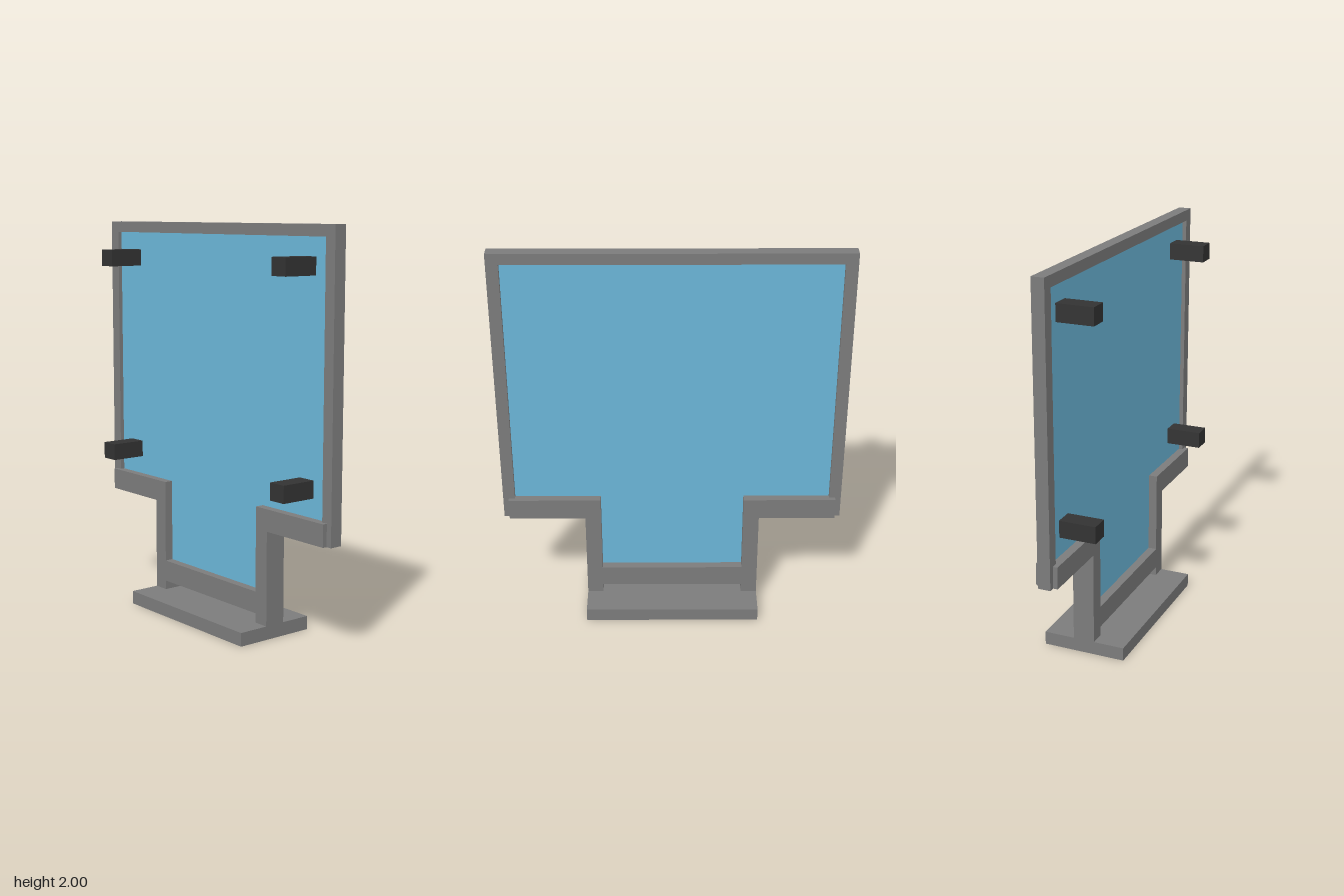
import * as THREE from 'three';

const grey = new THREE.MeshStandardMaterial({ color: 0x7c7c7c });
const blue = new THREE.MeshStandardMaterial({ color: 0x6bb6d8 });
const dark = new THREE.MeshStandardMaterial({ color: 0x333333 });

// Closed shape symmetric in x, from the points of its +x half (top to bottom)
function mirrored(half) {
  const left = half.map(([x, y]) => [-x, y]).reverse();
  return new THREE.Shape([...half, ...left].map(([x, y]) => new THREE.Vector2(x, y)));
}

// Flat plate centred on z = 0
function plate(name, shape, depth, material) {
  const geometry = new THREE.ExtrudeGeometry(shape, { depth, bevelEnabled: false });
  geometry.translate(0, 0, -depth / 2);
  const mesh = new THREE.Mesh(geometry, material);
  mesh.name = name;
  return mesh;
}

function box(name, [w, h, d], [x, y, z], material) {
  const mesh = new THREE.Mesh(new THREE.BoxGeometry(w, h, d), material);
  mesh.position.set(x, y, z);
  mesh.name = name;
  return mesh;
}

export function createModel() {
  const model = new THREE.Group();
  model.name = 'panelOnStand';

  // Upside-down U frame around the top and sides of the panel
  model.add(plate('outerFrame', mirrored([
    [0.867, 2], [0.867, 0.54], [0.807, 0.54], [0.807, 1.945],
  ]), 0.064, grey));

  // T-shaped panel, its edges tucked into the frame
  model.add(plate('panel', mirrored([
    [0.82, 1.96], [0.82, 0.6], [0.39, 0.6], [0.39, 0.2],
  ]), 0.022, blue));

  // Thicker stand: side ledges, posts and crossbar in one piece
  const stand = mirrored([
    [0.367, 0.225], [0.367, 0.65], [0.838, 0.65], [0.838, 0.54],
    [0.448, 0.54], [0.448, 0.06], [0.367, 0.06], [0.367, 0.115],
  ]);
  model.add(plate('stand', stand, 0.11, grey));

  // Foot plate
  model.add(box('base', [0.896, 0.068, 0.426], [0, 0.034, 0], grey));

  // Four pegs on the front of the panel
  for (const x of [-0.677, 0.677]) {
    for (const y of [0.787, 1.813]) {
      model.add(box('peg', [0.094, 0.085, 0.19], [x, y, 0.1], dark));
    }
  }
  return model;
}
